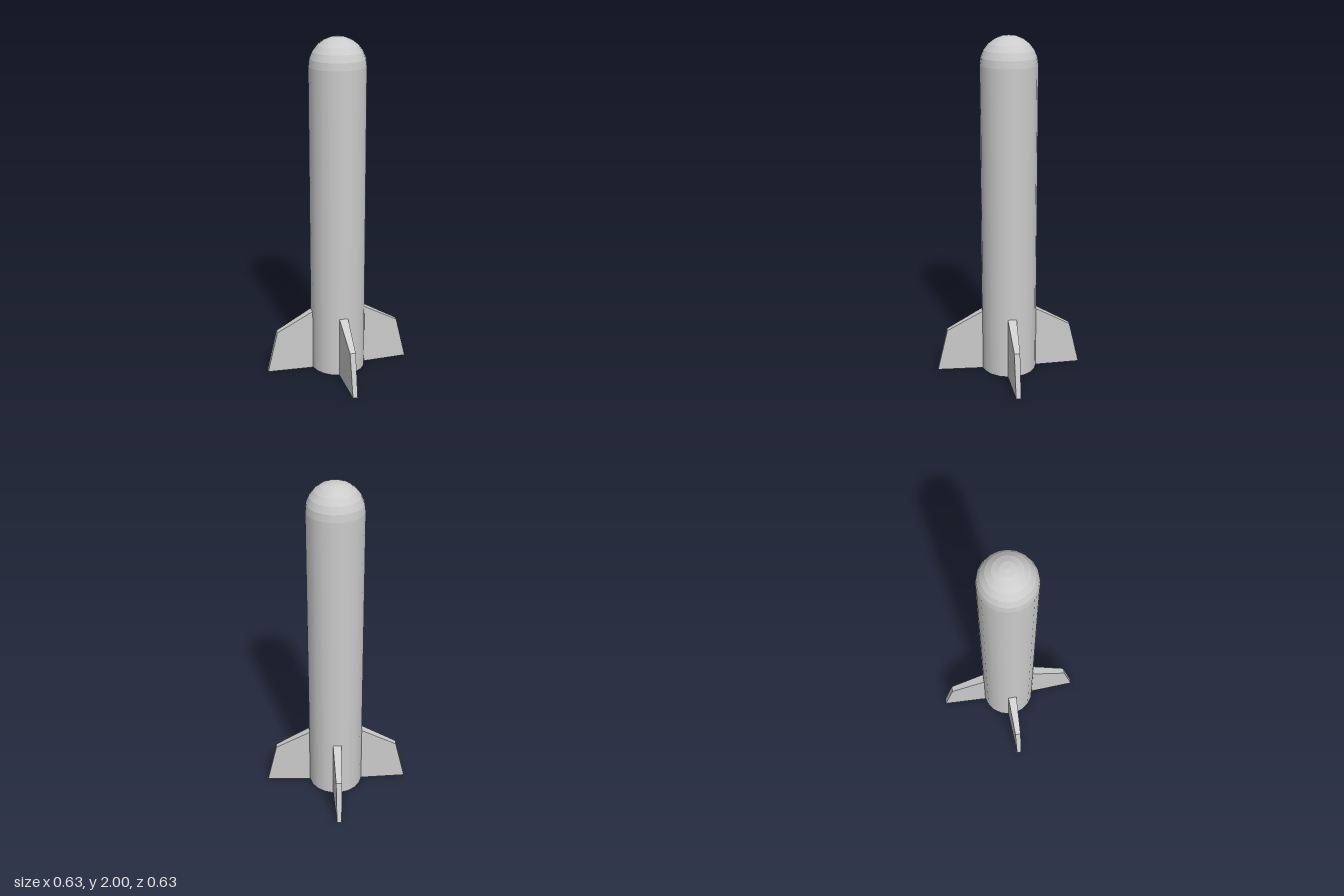
import * as THREE from 'three';

const SIDES = 20;
const RADIUS = 0.163;
const SHOULDER = 2 - RADIUS; // height where the dome starts

export function createModel() {
  const model = new THREE.Group();
  const material = new THREE.MeshStandardMaterial({ color: 0xcccccc });

  const add = (parent, name, geometry) => {
    const mesh = new THREE.Mesh(geometry, material);
    mesh.name = name;
    parent.add(mesh);
    return mesh;
  };

  // Fuselage: tube with a domed nose, very slightly off the fin axis
  const fuselage = new THREE.Group();
  fuselage.name = 'fuselage';
  fuselage.position.set(0.002, 0, -0.004);
  model.add(fuselage);

  add(fuselage, 'bodyTube', new THREE.CylinderGeometry(RADIUS, RADIUS, SHOULDER, SIDES, 1, true))
    .position.y = SHOULDER / 2;

  const base = add(fuselage, 'bodyBase', new THREE.CircleGeometry(RADIUS, SIDES));
  base.rotation.x = Math.PI / 2;

  // Nose dome: stacked bands, smooth around and creased between
  const BANDS = 6;
  for (let i = 0; i < BANDS; i++) {
    const a = (i / BANDS) * Math.PI / 2;
    const b = ((i + 1) / BANDS) * Math.PI / 2;
    const y0 = RADIUS * Math.sin(a);
    const y1 = RADIUS * Math.sin(b);
    const top = i === BANDS - 1 ? 0 : RADIUS * Math.cos(b);
    const band = new THREE.CylinderGeometry(top, RADIUS * Math.cos(a), y1 - y0, SIDES, 1, true);
    add(fuselage, 'noseBand', band).position.y = SHOULDER + (y0 + y1) / 2;
  }

  // Fin: clipped profile (radius, height), thinning towards the tip
  const profile = [[0.15, 0], [0.431, 0], [0.371, 0.255], [0.165, 0.37], [0.15, 0.37]];
  const shape = new THREE.Shape(profile.map(([r, y]) => new THREE.Vector2(r, y)));
  const finGeometry = new THREE.ExtrudeGeometry(shape, { depth: 2, bevelEnabled: false });
  finGeometry.translate(0, 0, -1);
  const pos = finGeometry.attributes.position;
  for (let i = 0; i < pos.count; i++) {
    const halfThickness = 0.0255 - 0.043 * (pos.getX(i) - 0.165);
    pos.setZ(i, pos.getZ(i) * halfThickness);
  }
  finGeometry.computeVertexNormals();

  // Four fins on the diagonals
  for (let i = 0; i < 4; i++) {
    add(model, 'fin', finGeometry).rotation.y = Math.PI / 4 + i * Math.PI / 2;
  }

  return model;
}
